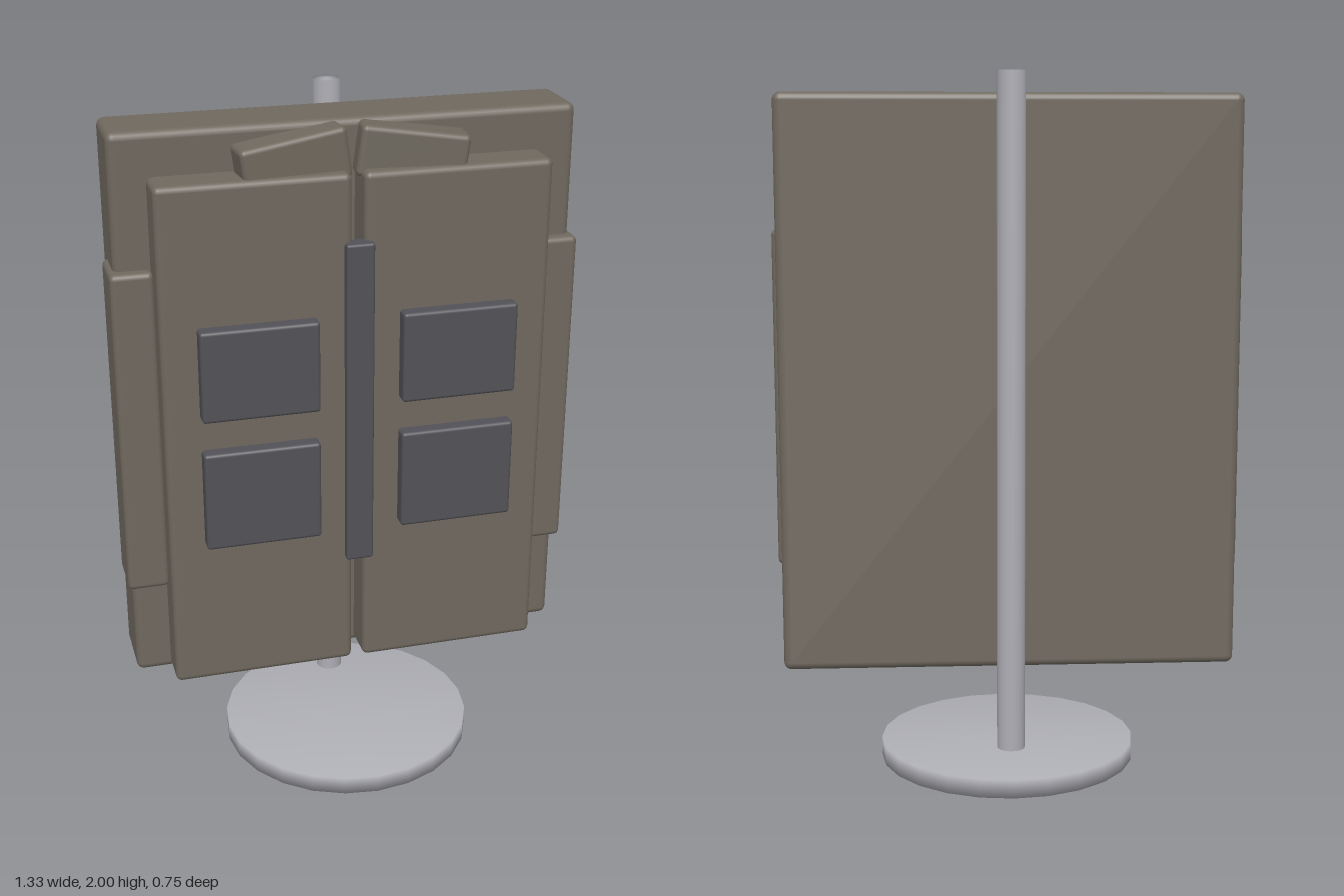
import * as THREE from 'three';
import { RoundedBoxGeometry } from 'three/addons/geometries/RoundedBoxGeometry.js';
import { mergeVertices } from 'three/addons/utils/BufferGeometryUtils.js';

function makeMaterial(name, color) {
  const material = new THREE.MeshStandardMaterial({ color });
  material.name = name;
  return material;
}

export function createModel() {
  const model = new THREE.Group();
  model.name = 'vestOnStand';

  const fabric = makeMaterial('brown fabric', 0x6f685e);
  const trim = makeMaterial('dark trim', 0x515157);
  const metal = makeMaterial('pale metal', 0xaeaeb5);

  function add(name, geometry, material, x, y, z) {
    const mesh = new THREE.Mesh(geometry, material);
    mesh.name = name;
    mesh.position.set(x, y, z);
    model.add(mesh);
    return mesh;
  }

  // Soft-edged box given by its extents on each axis
  function addBlock(name, material, [x0, x1], [y0, y1], [z0, z1], bevel) {
    const geometry = new RoundedBoxGeometry(x1 - x0, y1 - y0, z1 - z0, 3, bevel);
    return add(name, geometry, material, (x0 + x1) / 2, (y0 + y1) / 2, (z0 + z1) / 2);
  }

  // Cylinder shaded smoothly across its rims
  function smoothCylinder(radius, height, sides) {
    const geometry = new THREE.CylinderGeometry(radius, radius, height, sides);
    geometry.deleteAttribute('normal');
    geometry.deleteAttribute('uv');
    const merged = mergeVertices(geometry);
    merged.computeVertexNormals();
    return merged;
  }

  // Stand: the pole floats just above the base disc
  add('standBase', smoothCylinder(0.375, 0.053, 24), metal, 0, 0.0265, 0);
  add('standPole', smoothCylinder(0.04, 1.91, 16), metal, 0, 1.045, -0.207);

  // Body and centre closure
  addBlock('backPanel', fabric, [-0.65, 0.65], [0.315, 1.945], [-0.168, 0.033], 0.022);
  addBlock('zipper', trim, [-0.04, 0.04], [0.675, 1.635], [0.11, 0.165], 0.008);

  // Mirrored parts
  for (const side of [1, -1]) {
    const label = side > 0 ? 'left' : 'right';
    const span = (a, b) => (side > 0 ? [a, b] : [-b, -a]);

    addBlock(label + 'FrontPanel', fabric, span(0.017, 0.55), [0.325, 1.823], [0.01, 0.14], 0.018);
    addBlock(label + 'SidePanel', fabric, span(0.545, 0.665), [0.61, 1.57], [-0.095, 0.065], 0.016);

    // Collar flap, drooping and swinging forward at its outer end
    const collar = addBlock(label + 'Collar', fabric, span(0.015, 0.315), [1.78, 1.92], [0.015, 0.115], 0.015);
    collar.rotation.set(0, -0.1 * side, -0.14 * side);

    // Chest and waist pouches
    addBlock(label + 'ChestPouch', trim, span(0.118, 0.45), [1.165, 1.43], [0.11, 0.182], 0.01);
    addBlock(label + 'WaistPouch', trim, span(0.118, 0.45), [0.775, 1.07], [0.11, 0.182], 0.01);
  }

  return model;
}
